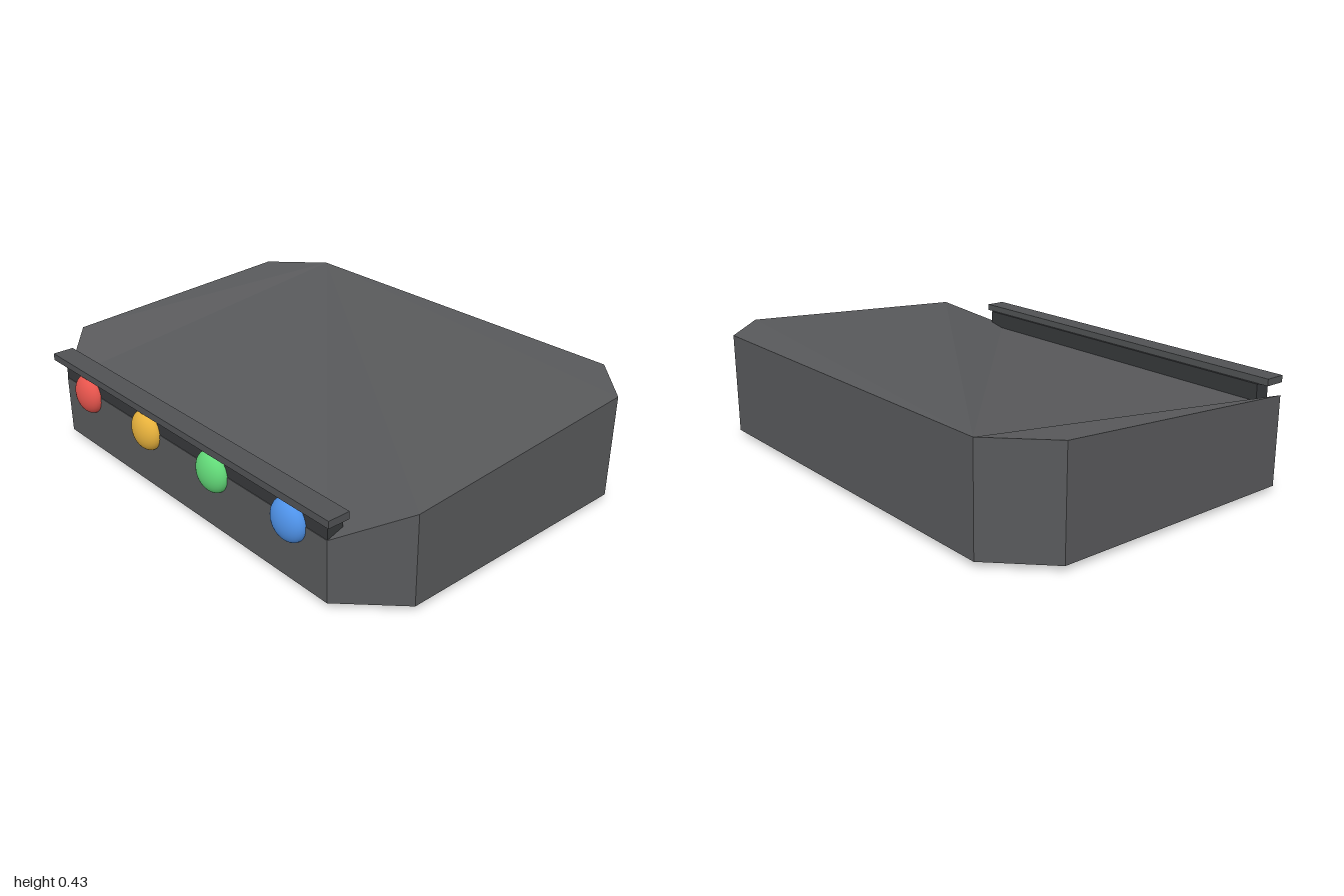
import * as THREE from 'three';

const paint = (color, extra = {}) => new THREE.MeshStandardMaterial({ color, ...extra });

// Box given by its extents along each axis
function box(name, [x0, x1], [y0, y1], [z0, z1], material) {
  const mesh = new THREE.Mesh(new THREE.BoxGeometry(x1 - x0, y1 - y0, z1 - z0), material);
  mesh.position.set((x0 + x1) / 2, (y0 + y1) / 2, (z0 + z1) / 2);
  mesh.name = name;
  return mesh;
}

// Eight-sided case with cut corners; each corner is [x, z, top height]
function caseGeometry(base) {
  const half = [[0.8, -0.74, 0.43], [1, -0.54, 0.43], [1, 0.49, 0.367], [0.8, 0.69, 0.26]];
  const ring = [...half.map(([x, z, h]) => [-x, z, h]), ...[...half].reverse()];
  const top = ring.map(([x, z, h]) => [x, h, z]);
  const bottom = ring.map(([x, z]) => [x, base, z]);
  const pos = [];
  const tri = (...corners) => corners.forEach((c) => pos.push(...c));
  ring.forEach((_, i) => {
    const j = (i + 1) % ring.length;
    tri(bottom[i], bottom[j], top[j]);
    tri(bottom[i], top[j], top[i]);
    // Lid and underside fan out from the first back corner
    if (i > 0 && j > 0) {
      tri(top[0], top[i], top[j]);
      tri(bottom[0], bottom[j], bottom[i]);
    }
  });
  const geometry = new THREE.BufferGeometry();
  geometry.setAttribute('position', new THREE.Float32BufferAttribute(pos, 3));
  geometry.computeVertexNormals();
  return geometry;
}

export function createModel() {
  const model = new THREE.Group();
  model.name = 'console';

  // Main case
  const body = new THREE.Mesh(caseGeometry(0.02), paint(0x58595b, { flatShading: true }));
  body.name = 'case';
  model.add(body);

  // Base plate, and the button strip with its overhanging hood
  model.add(
    box('basePlate', [-0.5, 0.5], [0, 0.03], [-0.38, 0.33], paint(0x4a4c50)),
    box('buttonStrip', [-0.8, 0.8], [0.2, 0.336], [0.622, 0.688], paint(0x36383a)),
    box('hood', [-0.84, 0.84], [0.335, 0.363], [0.633, 0.72], paint(0x505254))
  );

  // Row of flattened round buttons
  const dome = new THREE.SphereGeometry(0.08, 32, 20);
  const buttons = new THREE.Group();
  buttons.name = 'buttons';
  [['red', 0xe8554d], ['yellow', 0xe8b23c], ['green', 0x62d978], ['blue', 0x4f93ea]].forEach(([label, color], i) => {
    const button = new THREE.Mesh(dome, paint(color));
    button.name = `${label}Button`;
    button.scale.z = 0.6;
    button.position.set(-0.62 + i * 0.413, 0.253, 0.692);
    buttons.add(button);
  });
  model.add(buttons);

  return model;
}
